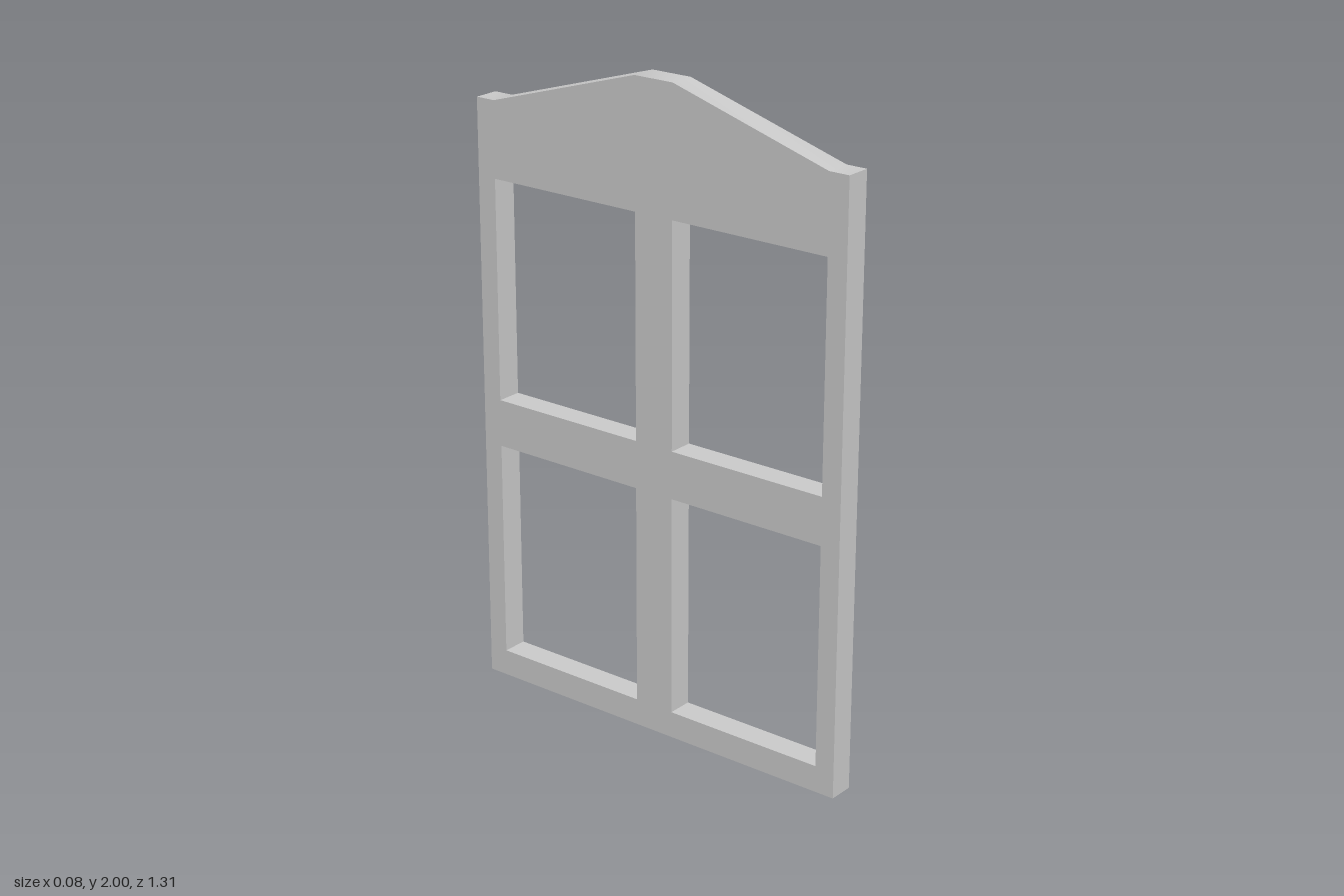
import * as THREE from 'three';
import { toCreasedNormals } from 'three/addons/utils/BufferGeometryUtils.js';

const THICKNESS = 0.08;

// Closed outline from a list of [across, up] corners
const outline = (Type, corners) => new Type(corners.map(([a, y]) => new THREE.Vector2(a, y)));

export function createModel() {
  const group = new THREE.Group();
  group.name = 'windowFrame';

  // Outer outline with shoulders and a flat-topped gable
  const right = [[0.655, 0], [0.655, 1.845], [0.59, 1.845], [0.067, 2]];
  const left = right.map(([a, y]) => [-a, y]).reverse();
  const shape = outline(THREE.Shape, [...right, ...left]);

  // Four panes: two rows, mirrored about the central mullion
  for (const [bottom, top] of [[0.083, 0.772], [0.92, 1.61]]) {
    for (const side of [-1, 1]) {
      const inner = side * 0.066, outer = side * 0.592;
      shape.holes.push(outline(THREE.Path, [[inner, bottom], [inner, top], [outer, top], [outer, bottom]]));
    }
  }

  // Extruded slab, turned so its thickness runs along x; the gable's shallow bends stay smooth
  let geometry = new THREE.ExtrudeGeometry(shape, { depth: THICKNESS, bevelEnabled: false });
  geometry.translate(0, 0, -THICKNESS / 2);
  geometry.rotateY(Math.PI / 2);
  geometry = toCreasedNormals(geometry, Math.PI / 6);

  const frame = new THREE.Mesh(geometry, new THREE.MeshStandardMaterial({ color: 0xcccccc }));
  frame.name = 'gabledFrame';
  group.add(frame);
  return group;
}
